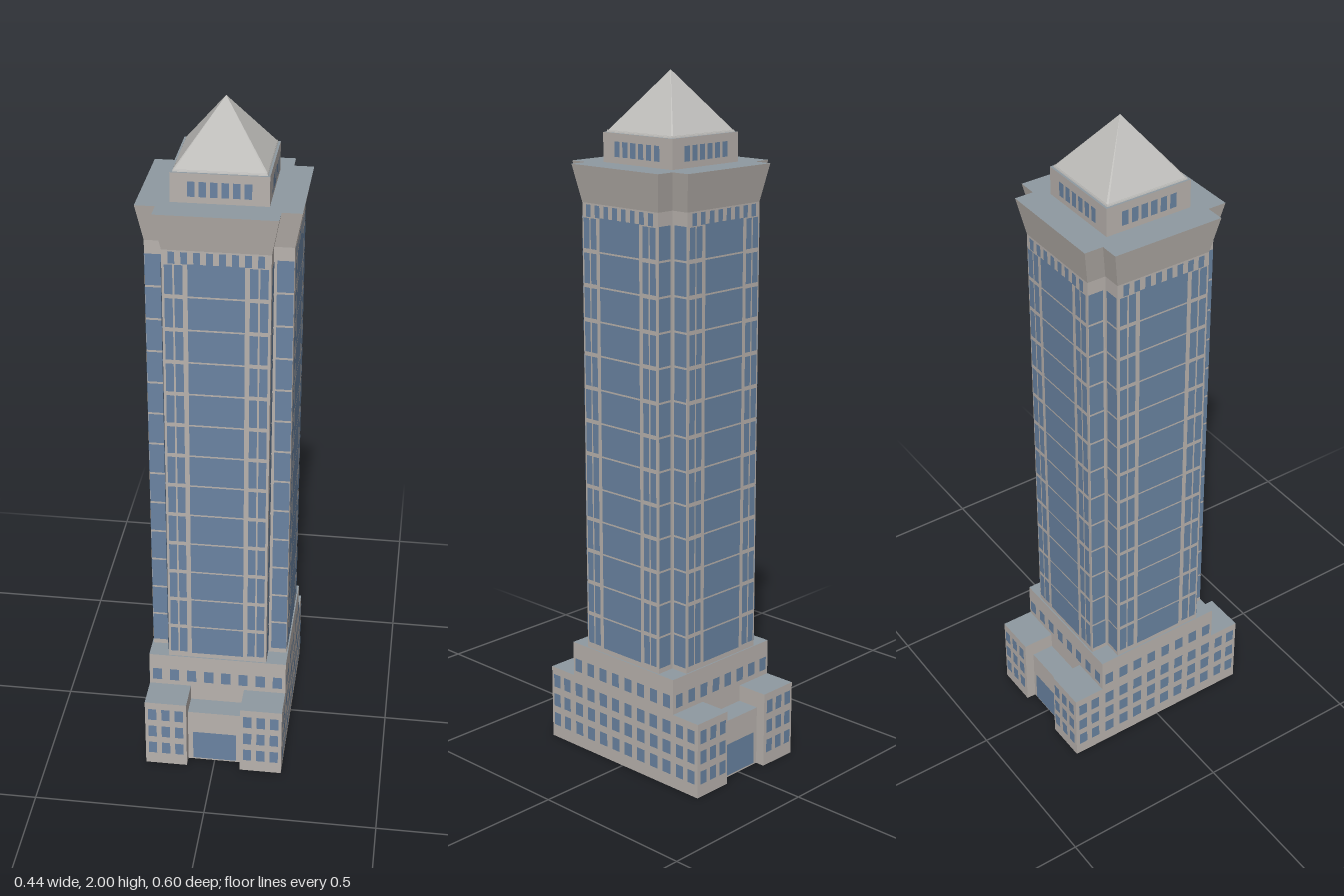
import * as THREE from 'three';
import { mergeGeometries } from 'three/addons/utils/BufferGeometryUtils.js';

const mat = (name, color) => {
  const m = new THREE.MeshStandardMaterial({ color, side: THREE.DoubleSide });
  m.name = name;
  return m;
};

// Plan outlines, counter-clockwise seen from above, as [x, -z]
const rect = (x0, x1, z0, z1) => [[x1, -z1], [x1, -z0], [x0, -z0], [x0, -z1]];
const square = (r) => rect(-r, r, -r, r);
const plus = (a, b) => [
  [a, -b], [a, b], [b, b], [b, a], [-b, a], [-b, b],
  [-a, b], [-a, -b], [-b, -b], [-b, -a], [b, -a], [b, -b],
];
const chamfered = (r, c) => {
  const k = r - c;
  return [[r, -k], [r, k], [k, r], [-k, r], [-r, k], [-r, -k], [-k, -r], [k, -r]];
};

// Walls between a lower and an upper outline
function walls(lower, y0, upper, y1) {
  const pos = [];
  const n = lower.length;
  for (let i = 0; i < n; i++) {
    const j = (i + 1) % n;
    const a = [lower[i][0], y0, -lower[i][1]], b = [lower[j][0], y0, -lower[j][1]];
    const c = [upper[j][0], y1, -upper[j][1]], d = [upper[i][0], y1, -upper[i][1]];
    pos.push(...a, ...b, ...c, ...a, ...c, ...d);
  }
  const g = new THREE.BufferGeometry();
  g.setAttribute('position', new THREE.Float32BufferAttribute(pos, 3));
  g.computeVertexNormals();
  return g;
}

function deck(outline, y) {
  const shape = new THREE.Shape(outline.map(([x, v]) => new THREE.Vector2(x, v)));
  return new THREE.ShapeGeometry(shape).rotateX(-Math.PI / 2).translate(0, y, 0);
}

// Flat pane on a front-facing wall at depth z
const pane = (x, y, w, h, z) => new THREE.PlaneGeometry(w, h).translate(x, y, z + 0.002);

export function createModel() {
  const stone = mat('stone', 0xb9b3ae);
  const glass = mat('glass', 0x6a84a2);
  const roof = mat('roof', 0x8f9aa1);
  const spire = mat('spire', 0xbfbebb);

  const model = new THREE.Group();
  model.name = 'tower';
  const add = (name, geometry, material) => {
    const mesh = new THREE.Mesh(geometry, material);
    mesh.name = name;
    model.add(mesh);
    return mesh;
  };
  const block = (name, outline, y0, y1) => {
    add(name + 'Walls', walls(outline, y0, outline, y1), stone);
    add(name + 'Roof', deck(outline, y1), roof);
  };

  // Podium, corner wings and entrance halls, open underneath
  const P = 0.204;
  block('podium', square(P), 0, 0.332);
  for (const s of [1, -1]) {
    const z0 = s > 0 ? P : -0.3, z1 = s > 0 ? 0.3 : -P;
    for (const t of [1, -1]) {
      block('wing', rect(t > 0 ? 0.08 : -P, t > 0 ? P : -0.08, z0, z1), 0, 0.226);
    }
    block('entrance', rect(-0.08, 0.08, s > 0 ? P : -0.272, s > 0 ? 0.267 : -P), 0, 0.177);
  }

  // Shaft and flared crown
  add('shaft', walls(plus(0.2, 0.145), 0.332, plus(0.2, 0.145), 1.645), stone);
  add('crown', walls(plus(0.2, 0.145), 1.645, plus(0.22, 0.165), 1.75), stone);
  add('crownRoof', deck(plus(0.22, 0.165), 1.75), roof);

  // Lantern and pyramid
  block('lantern', square(0.131), 1.75, 1.832);
  add('pyramidCurb', walls(square(0.125), 1.832, square(0.123), 1.838), spire);
  add('pyramid', walls(chamfered(0.124, 0.004), 1.836, chamfered(0.0004, 0.0001), 2), spire);

  // Curtain wall of one shaft side, floor by floor
  const floors = 13, bottom = 0.345, top = 1.61;
  const step = (top - bottom) / floors;
  const curtain = [];
  for (let i = 0; i < floors; i++) {
    const y = bottom + (i + 0.5) * step;
    curtain.push(pane(0, y, 0.152, step - 0.005, 0.2));
    for (const t of [1, -1]) {
      curtain.push(pane(t * 0.1, y, 0.022, step - 0.012, 0.2));
      curtain.push(pane(t * 0.127, y, 0.022, step - 0.012, 0.2));
      curtain.push(pane(t * 0.1765, y, 0.045, step - 0.006, 0.145));
    }
  }
  for (let i = 0; i < 8; i++) curtain.push(pane((i - 3.5) * 0.034, 1.624, 0.018, 0.034, 0.2));
  // Lantern windows
  for (let i = 0; i < 6; i++) curtain.push(pane((i - 2.5) * 0.03, 1.789, 0.02, 0.042, 0.131));
  // Upper podium row
  for (let i = 0; i < 8; i++) curtain.push(pane((i - 3.5) * 0.0515, 0.263, 0.028, 0.04, P));
  const curtainGeometry = mergeGeometries(curtain);
  for (let k = 0; k < 4; k++) add('curtainWall', curtainGeometry, glass).rotation.y = k * Math.PI / 2;

  const rows = [0.06, 0.122, 0.184];

  // Wing windows and entrance doors, front and back
  for (const s of [1, -1]) {
    const ends = [pane(0, 0.055, 0.13, 0.098, s > 0 ? 0.267 : 0.272)];
    for (const y of rows) {
      for (const t of [1, -1]) {
        for (const x of [0.102, 0.142, 0.182]) ends.push(pane(t * x, y, 0.025, 0.04, 0.3));
      }
    }
    add('entranceAndWingWindows', mergeGeometries(ends), glass).rotation.y = s > 0 ? 0 : Math.PI;
  }

  // Podium and wing windows, left and right
  for (const s of [1, -1]) {
    const sides = [];
    for (const y of rows) {
      for (let i = 0; i < 8; i++) sides.push(pane((i - 3.5) * 0.0515, y, 0.03, 0.04, P));
      for (const t of [1, -1]) {
        for (const x of [0.232, 0.276]) sides.push(pane(t * x, y, 0.027, 0.04, P));
      }
    }
    add('sideWindows', mergeGeometries(sides), glass).rotation.y = s * Math.PI / 2;
  }

  return model;
}
